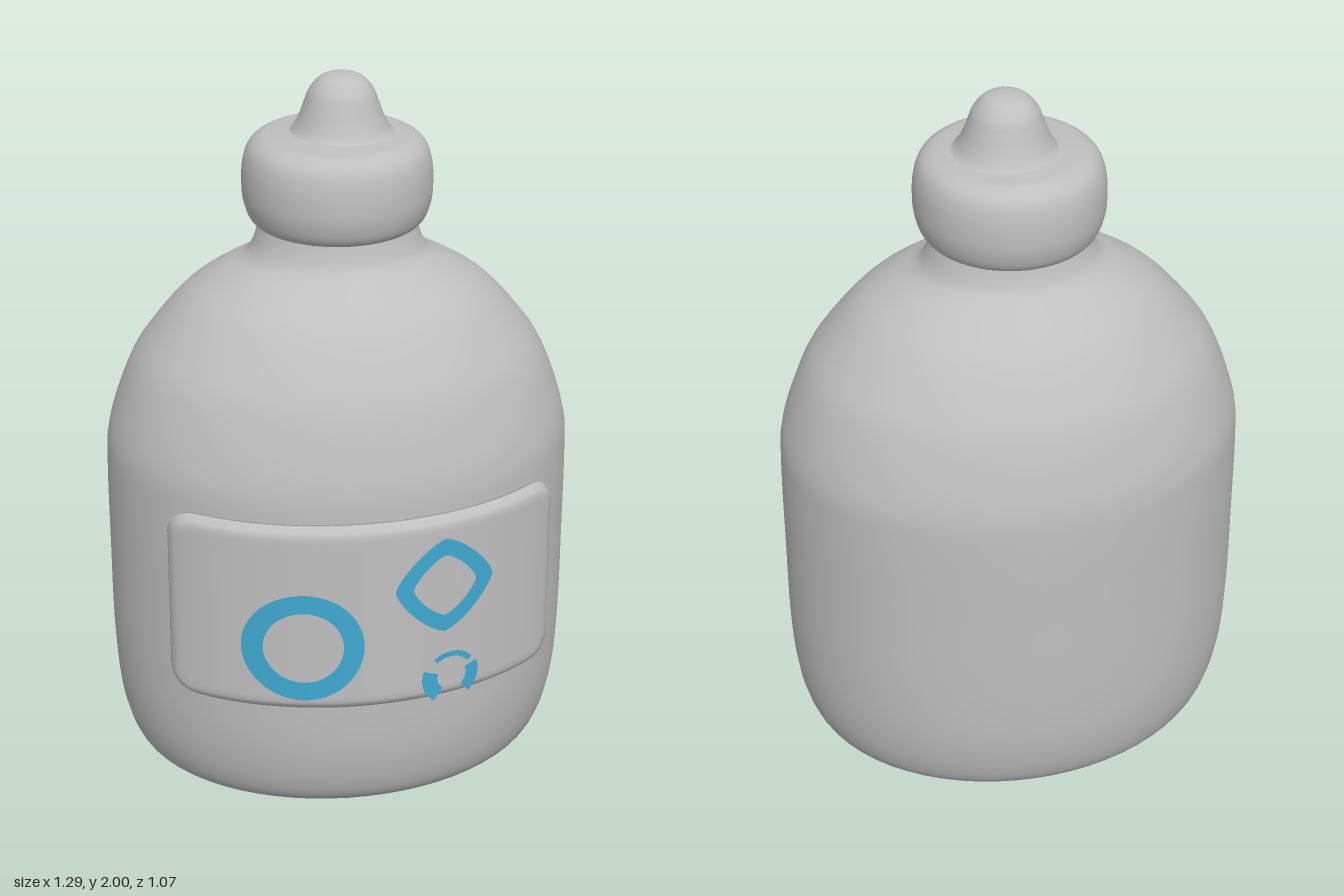
import * as THREE from 'three';
import { mergeVertices } from 'three/addons/utils/BufferGeometryUtils.js';

const CENTER_Z = -0.018;
const grey = new THREE.MeshStandardMaterial({ name: 'grey plastic', color: 0xbfbfbf });
const blue = new THREE.MeshStandardMaterial({ name: 'blue print', color: 0x3fa9d0, side: THREE.DoubleSide });

// Smooth turned part from a few [radius, height] points
function turned(name, points, zScale = 1) {
  const curve = new THREE.SplineCurve(points.map(([r, y]) => new THREE.Vector2(r, y)));
  const profile = curve.getPoints(points.length * 5);
  profile.forEach((p) => p.set(Math.max(p.x, 0), THREE.MathUtils.clamp(p.y, 0, 2)));
  const mesh = new THREE.Mesh(new THREE.LatheGeometry(profile, 64), grey);
  mesh.name = name;
  mesh.scale.z = zScale;
  mesh.position.z = CENTER_Z;
  return mesh;
}

// Wraps flat x, y and depth d around the elliptical front of the bottle
function wrap(geometry, rule) {
  const pos = geometry.attributes.position;
  const p = new THREE.Vector3();
  for (let i = 0; i < pos.count; i++) {
    p.fromBufferAttribute(pos, i);
    rule(p);
    const t = Math.asin(p.x / 0.68);
    pos.setXYZ(i, (0.652 + p.z) * Math.sin(t), p.y, (0.522 + p.z) * Math.cos(t) + CENTER_Z);
  }
  geometry.computeVertexNormals();
  return geometry;
}

// Curved label plate with rounded corners and a softened front edge
function makeLabel() {
  const hw = 0.543, hh = 0.275, r = 0.07, depth = 0.03, soft = 0.035;
  let geo = new THREE.BoxGeometry(hw * 2, hh * 2, depth, 72, 40, 1);
  geo.deleteAttribute('normal');
  geo.deleteAttribute('uv');
  geo = mergeVertices(geo);
  wrap(geo, (p) => {
    const dx = Math.max(Math.abs(p.x) - (hw - r), 0);
    const dy = Math.max(Math.abs(p.y) - (hh - r), 0);
    const big = Math.max(dx, dy);
    if (dx > 0 && dy > 0) {
      const k = big / Math.hypot(dx, dy);
      p.x = Math.sign(p.x) * (hw - r + dx * k);
      p.y = Math.sign(p.y) * (hh - r + dy * k);
    }
    const inward = Math.min((r - big) / soft, 1);
    const front = 0.008 + (depth - 0.008) * Math.sqrt(Math.max(0, 1 - (1 - inward) ** 2));
    p.z = p.z > 0 ? front : 0;
    p.y += 0.655;
  });
  const mesh = new THREE.Mesh(geo, grey);
  mesh.name = 'label';
  return mesh;
}

// Printed ring or arc; power 2 is round, lower values approach a diamond
function printedRing(name, x, y, inner, outer, power = 2, startDeg = 0, sweepDeg = 360) {
  const rad = Math.PI / 180;
  const geo = new THREE.RingGeometry(inner, outer, 48, 3, startDeg * rad, sweepDeg * rad);
  wrap(geo, (p) => {
    const len = Math.hypot(p.x, p.y);
    const k = (Math.abs(p.x / len) ** power + Math.abs(p.y / len) ** power) ** (-1 / power);
    p.set(x + p.x * k, y + p.y * k, 0.033);
  });
  const mesh = new THREE.Mesh(geo, blue);
  mesh.name = name;
  return mesh;
}

export function createModel() {
  const model = new THREE.Group();
  model.name = 'squeezeBottle';

  // Oval body with shoulders and neck
  model.add(turned('body', [
    [0, 0.005], [0.3, 0.005], [0.48, 0.01], [0.555, 0.035], [0.6, 0.1], [0.63, 0.22],
    [0.643, 0.4], [0.645, 0.65], [0.645, 0.9], [0.634, 1.03], [0.575, 1.2], [0.51, 1.3],
    [0.42, 1.4], [0.33, 1.46], [0.265, 1.495], [0.235, 1.53], [0.215, 1.59], [0.21, 1.63],
  ], 0.802));

  // Round cap with a dished top
  model.add(turned('cap', [
    [0, 1.59], [0.12, 1.59], [0.2, 1.588], [0.235, 1.605], [0.253, 1.65], [0.258, 1.7],
    [0.254, 1.76], [0.238, 1.805], [0.205, 1.83], [0.16, 1.837], [0.1, 1.845], [0, 1.85],
  ]));

  // Nozzle
  const nozzle = turned('nozzle', [
    [0.165, 1.825], [0.135, 1.845], [0.115, 1.88], [0.1, 1.92], [0.086, 1.955],
    [0.06, 1.985], [0.03, 1.997], [0, 2],
  ]);
  nozzle.position.x = 0.012;
  nozzle.position.z = -0.022;
  model.add(nozzle);

  // Label and its printed shapes
  model.add(makeLabel());
  model.add(printedRing('largeRing', -0.195, 0.577, 0.105, 0.16));
  model.add(printedRing('diamondRing', 0.188, 0.73, 0.09, 0.14, 1.35));
  model.add(printedRing('smallArcTop', 0.207, 0.447, 0.06, 0.076, 2, 35, 95));
  model.add(printedRing('smallArcLeft', 0.207, 0.447, 0.038, 0.082, 2, 160, 75));
  model.add(printedRing('smallArcRight', 0.207, 0.447, 0.045, 0.082, 2, -48, 70));

  return model;
}
